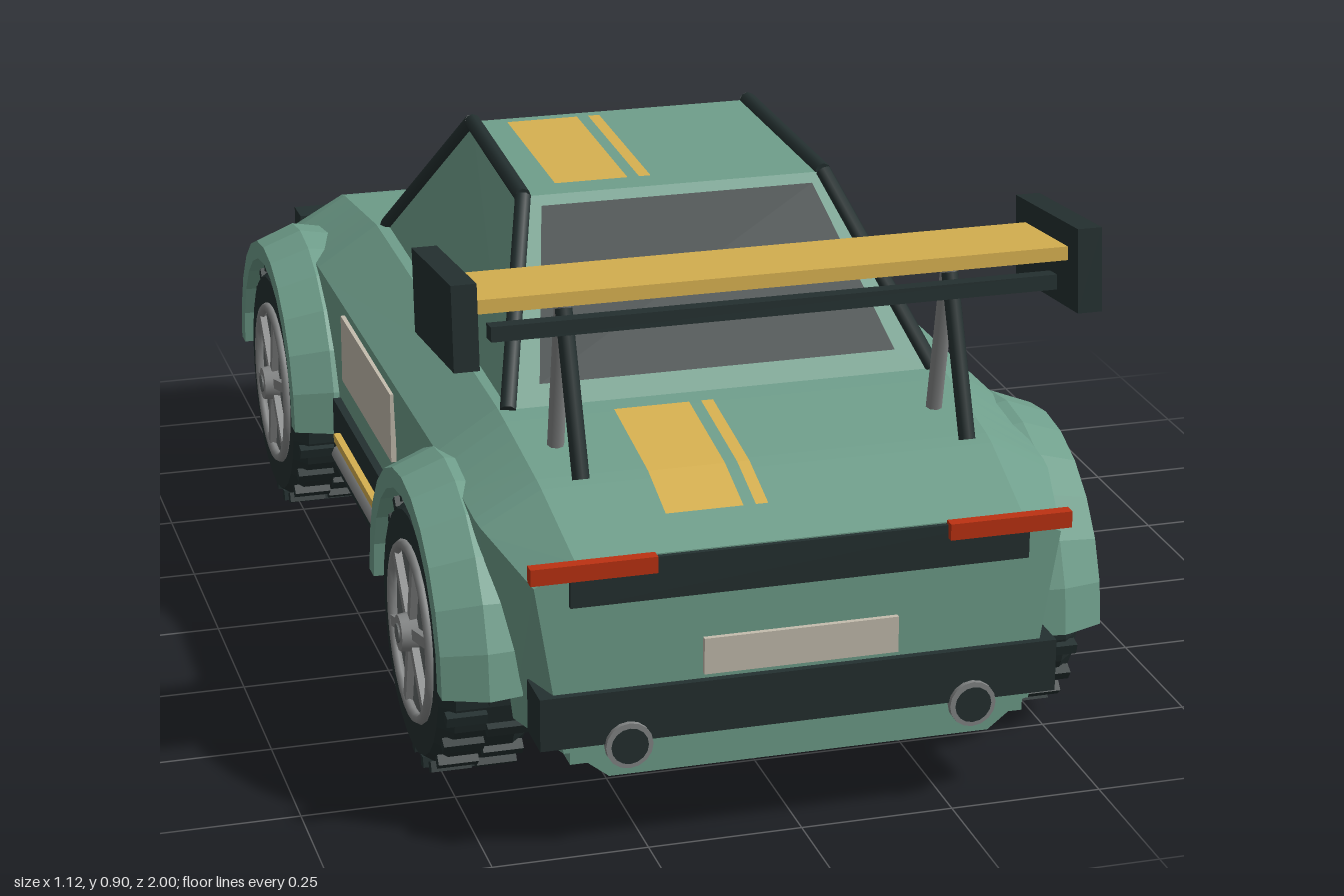
import * as THREE from 'three';

const mat = (name, color, side = THREE.FrontSide) => {
  const m = new THREE.MeshStandardMaterial({ color, side });
  m.name = name;
  return m;
};

export function createModel() {
  const car = new THREE.Group();
  car.name = 'rallyCar';
  const green = mat('bodyGreen', 0x6f9e8b, THREE.DoubleSide);
  const dark = mat('darkTrim', 0x243030, THREE.DoubleSide);
  const yellow = mat('yellow', 0xd6b050, THREE.DoubleSide);
  const beige = mat('beige', 0xc4bdae);
  const red = mat('tailRed', 0xbd3212);
  const grey = mat('metalGrey', 0x848686);
  const rimGrey = mat('rimGrey', 0x626666);

  const add = (name, geo, m, parent = car) => {
    const mesh = new THREE.Mesh(geo, m);
    mesh.name = name;
    parent.add(mesh);
    return mesh;
  };
  const box = (name, m, [w, h, d], [x, y, z], parent = car) => {
    const b = add(name, new THREE.BoxGeometry(w, h, d), m, parent);
    b.position.set(x, y, z);
    return b;
  };
  const rod = (name, m, a, b, r, parent = car) => {
    const p = new THREE.Vector3(...a), q = new THREE.Vector3(...b);
    const t = add(name, new THREE.CylinderGeometry(r, r, p.distanceTo(q), 8), m, parent);
    t.position.copy(p).lerp(q, 0.5);
    t.quaternion.setFromUnitVectors(new THREE.Vector3(0, 1, 0), q.sub(p).normalize());
    return t;
  };
  const faceted = (tris) => {
    const g = new THREE.BufferGeometry();
    g.setAttribute('position', new THREE.Float32BufferAttribute(tris.flat(), 3));
    g.computeVertexNormals();
    return g;
  };
  const quad = (a, b, c, d) => [a, b, c, a, c, d];

  // Body sections: z, deck height, deck half-width, side half-width, shoulder height, sill half-width
  const key = [
    [-0.97, 0.43, 0.33, 0.39, 0.395, 0.375],
    [-0.9, 0.475, 0.35, 0.43, 0.43, 0.41],
    [-0.75, 0.535, 0.36, 0.46, 0.475, 0.44],
    [-0.44, 0.572, 0.36, 0.47, 0.5, 0.46],
    [0.56, 0.58, 0.375, 0.475, 0.515, 0.46],
    [0.8, 0.545, 0.37, 0.47, 0.49, 0.435],
    [0.98, 0.487, 0.36, 0.425, 0.45, 0.38],
  ];
  const at = (z) => {
    let i = 0;
    while (i < key.length - 2 && z > key[i + 1][0]) i++;
    const t = (z - key[i][0]) / (key[i + 1][0] - key[i][0]);
    return key[i].map((v, k) => v + (key[i + 1][k] - v) * t);
  };

  // Lofted body with wheel arches cut into its sides
  const axles = [-0.585, 0.6], wheelY = 0.23, archR = 0.235, sill = 0.17;
  const stations = key.filter((k) => ![-0.75, 0.56, 0.8].includes(k[0])).map((k) => [k[0], sill]);
  for (const zc of axles) {
    stations.push([zc - archR - 1e-5, sill], [zc + archR + 1e-5, sill]);
    for (let i = 0; i <= 14; i++) {
      const t = (i / 14) * Math.PI;
      stations.push([zc - archR * Math.cos(t), wheelY + archR * Math.sin(t)]);
    }
  }
  stations.sort((a, b) => a[0] - b[0]);
  const rings = stations.map(([z, low]) => {
    const [, top, a, w, sh, lw] = at(z);
    const f = Math.max(0, (sh - low) / (sh - sill));
    const half = [[a, top], [w, sh], [w + (lw - w) * f, low], [0.37, low], [0.37, 0.15]];
    return [...half, ...half.map(([x, y]) => [-x, y]).reverse()].map(([x, y]) => [x, y, z]);
  });
  const tris = [];
  const n = rings[0].length;
  for (let i = 0; i < rings.length - 1; i++)
    for (let j = 0; j < n; j++) {
      const k = (j + 1) % n;
      tris.push(...quad(rings[i][j], rings[i + 1][j], rings[i + 1][k], rings[i][k]));
    }
  const first = rings[0], last = rings[rings.length - 1];
  for (let j = 0; j < n; j++) {
    const k = (j + 1) % n;
    tris.push([0, 0.3, first[0][2]], first[j], first[k], [0, 0.3, last[0][2]], last[k], last[j]);
  }
  add('body', faceted(tris), green);

  // Flat floor, notched for the wheels
  const half = [[0.31, -0.965], [0.37, -0.84], [0.37, -0.33], [0.45, -0.3], [0.45, 0.32], [0.37, 0.35], [0.37, 0.86], [0.31, 0.98]];
  const floor = new THREE.Shape([...half, ...half.map(([x, z]) => [-x, z]).reverse()].map((p) => new THREE.Vector2(...p)));
  add('floor', new THREE.ExtrudeGeometry(floor, { depth: 0.035, bevelEnabled: false }).rotateX(Math.PI / 2), dark).position.y = 0.165;
  for (const [name, z] of [['rearValance', 0.98], ['frontValance', -0.985]]) {
    const s = new THREE.Shape([[-0.31, 0.127], [0.31, 0.127], [0.39, 0.19], [-0.39, 0.19]].map((p) => new THREE.Vector2(...p)));
    add(name, new THREE.ExtrudeGeometry(s, { depth: 0.008, bevelEnabled: false }), green).position.z = z;
  }

  // Cabin: base and roof corners
  const corner = (s, e) => ({
    bf: [0.34 * s, 0.57, -0.44], tf: [0.25 * s, 0.85, -0.13], tr: [0.26 * s, 0.838, 0.27], br: [0.36 * s, 0.578, 0.56],
  })[e];
  const L = (e) => corner(1, e), R = (e) => corner(-1, e);
  add('cabin', faceted([
    ...quad(L('bf'), L('tf'), L('tr'), L('br')),
    ...quad(R('br'), R('tr'), R('tf'), R('bf')),
    ...quad(R('tf'), R('tr'), L('tr'), L('tf')),
    ...quad(R('bf'), R('tf'), L('tf'), L('bf')),
    ...quad(L('br'), L('tr'), R('tr'), R('br')),
  ]), green);
  for (const s of [1, -1]) {
    const p = ['bf', 'tf', 'tr', 'br'].map((e) => corner(s, e));
    for (let i = 0; i < 3; i++) rod('roofTube', dark, p[i], p[i + 1], 0.014);
  }

  // Glass set on a cabin face by fractions along (u) and up (v)
  const glass = (name, [b0, b1, t0, t1], uv, off) => {
    const mix = (a, b, t) => a.map((v, i) => v + (b[i] - v) * t);
    const pts = uv.map(([u, v]) => mix(mix(b0, b1, u), mix(t0, t1, u), v).map((c, i) => c + off[i]));
    add(name, faceted(quad(...pts)), dark);
  };
  const side = [L('bf'), L('br'), L('tf'), L('tr')];
  glass('frontSideWindow', side, [[0.525, 0.08], [0.07, 0.08], [0.05, 0.93], [0.52, 0.93]], [0.006, 0.002, 0]);
  glass('rearSideWindow', side, [[0.94, 0.08], [0.55, 0.08], [0.57, 0.93], [0.96, 0.93]], [0.006, 0.002, 0]);
  glass('rearWindow', [R('br'), L('br'), R('tr'), L('tr')], [[0.07, 0.1], [0.93, 0.1], [0.94, 0.94], [0.06, 0.94]], [0, 0.004, 0.004]);

  // Racing stripes on hood, roof and rear deck
  const roofY = (z) => 0.85 - (0.012 * (z + 0.13)) / 0.4;
  for (const [x0, x1] of [[-0.195, -0.07], [-0.05, -0.03]])
    for (const [name, z0, z1, h] of [['hoodStripe', -0.87, -0.48], ['roofStripe', -0.1, 0.23, roofY], ['deckStripe', 0.6, 0.9]]) {
      const t = [], y = (z) => (h ? h(z) : at(z)[1]) + 0.004;
      for (let i = 0; i < 12; i++) {
        const a = z0 + ((z1 - z0) * i) / 12, b = z0 + ((z1 - z0) * (i + 1)) / 12;
        t.push(...quad([x0, y(a), a], [x0, y(b), b], [x1, y(b), b], [x1, y(a), a]));
      }
      add(name, faceted(t), yellow);
    }

  // Hood scoop
  box('hoodScoop', dark, [0.26, 0.04, 0.17], [0, 0.547, -0.67]).rotation.x = -0.04;
  for (const x of [-0.04, 0, 0.04]) box('scoopSlot', rimGrey, [0.014, 0.006, 0.1], [x, 0.568, -0.67]);

  // Wheels and flares; each pair is turned about y for the other side
  const wheel = (parent) => {
    const w = new THREE.Group();
    w.name = 'wheel';
    const prof = [[0.14, -0.07], [0.2, -0.075], [0.217, -0.05], [0.217, 0.05], [0.2, 0.075], [0.14, 0.07]];
    add('tyre', new THREE.LatheGeometry(prof.map((p) => new THREE.Vector2(...p)), 28).toNonIndexed(), dark, w).geometry.computeVertexNormals();
    for (let i = 0; i < 44; i++) {
      const a = (i / 44) * Math.PI * 2;
      const b = box('tread', dark, [0.018, 0.066, 0.018], [0.219 * Math.cos(a), i % 2 ? 0.034 : -0.034, 0.219 * Math.sin(a)], w);
      b.rotation.y = -a;
    }
    add('rimDisc', new THREE.CylinderGeometry(0.147, 0.147, 0.135, 28), rimGrey, w);
    const ring = add('rimRing', new THREE.TorusGeometry(0.142, 0.009, 6, 28), grey, w);
    ring.rotation.x = Math.PI / 2;
    ring.position.y = 0.074;
    for (let i = 0; i < 6; i++) {
      const a = (i / 6) * Math.PI * 2 + 0.26;
      box('spoke', grey, [0.115, 0.015, 0.018], [0.085 * Math.cos(a), 0.072, 0.085 * Math.sin(a)], w).rotation.y = -a;
    }
    add('hub', new THREE.CylinderGeometry(0.03, 0.034, 0.03, 12), grey, w).position.y = 0.08;
    add('hubCap', new THREE.CylinderGeometry(0.016, 0.016, 0.01, 10), rimGrey, w).position.y = 0.093;
    w.rotation.z = -Math.PI / 2;
    w.position.x = 0.46;
    parent.add(w);
  };
  const flareProfile = [[0.235, 0.43], [0.235, 0.545], [0.268, 0.545], [0.295, 0.475], [0.285, 0.42]].map((p) => new THREE.Vector2(...p));
  for (const z of axles)
    for (const turn of [0, Math.PI]) {
      const c = new THREE.Group();
      c.name = 'wheelCorner';
      wheel(c);
      const flare = new THREE.LatheGeometry(flareProfile, 12, Math.PI, Math.PI).rotateZ(-Math.PI / 2).toNonIndexed();
      flare.computeVertexNormals();
      add('wheelFlare', flare, green, c);
      c.position.set(0, wheelY, z);
      c.rotation.y = turn;
      car.add(c);
    }

  // Paired side, lamp and wing details
  const wing = new THREE.Group();
  wing.name = 'rearWing';
  wing.position.set(0, 0.825, 0.738);
  wing.rotation.x = -0.1;
  car.add(wing);
  box('wingPlank', yellow, [0.96, 0.022, 0.185], [0, 0.02, 0], wing);
  box('wingLip', dark, [0.91, 0.024, 0.03], [0, -0.02, 0.095], wing);
  for (const s of [1, -1]) {
    box('sideSkirt', dark, [0.05, 0.13, 0.6], [0.454 * s, 0.235, 0.01]);
    box('skirtStripe', yellow, [0.02, 0.015, 0.48], [0.481 * s, 0.248, 0.01]);
    rod('sidePipe', grey, [0.478 * s, 0.216, -0.23], [0.478 * s, 0.216, 0.26], 0.018);
    box('doorPanel', beige, [0.009, 0.122, 0.41], [0.474 * s, 0.428, 0.005]);
    box('wingEndPlate', dark, [0.04, 0.135, 0.27], [0.5 * s, 0, 0], wing);
    rod('wingStrutRear', dark, [0.315 * s, 0.565, 0.845], [0.315 * s, 0.81, 0.745], 0.014);
    rod('wingStrutFront', grey, [0.315 * s, 0.565, 0.69], [0.315 * s, 0.82, 0.74], 0.014);
    box('tailLight', red, [0.2, 0.027, 0.02], [0.335 * s, 0.477, 0.99]);
    const pipe = rod('exhaust', grey, [0.28 * s, 0.18, 0.9], [0.28 * s, 0.18, 1.0], 0.038);
    pipe.geometry = new THREE.CylinderGeometry(0.038, 0.038, 0.1, 16);
    add('exhaustBore', new THREE.CircleGeometry(0.03, 16), dark).position.set(0.28 * s, 0.18, 1.002);
    box('lampHousing', dark, [0.17, 0.075, 0.06], [0.325 * s, 0.402, -0.955]);
    for (const y of [0.387, 0.417]) box('headlight', beige, [0.14, 0.02, 0.015], [0.32 * s, y, -0.99]);
  }

  // Rear and front fascia
  box('tailPanel', dark, [0.74, 0.07, 0.02], [0, 0.45, 0.978]);
  box('rearPlate', beige, [0.315, 0.06, 0.009], [0, 0.31, 0.984]);
  box('rearBumper', dark, [0.84, 0.087, 0.08], [0, 0.227, 0.952]);
  box('frontBumper', dark, [0.82, 0.065, 0.065], [0, 0.198, -0.957]);
  box('grille', dark, [0.48, 0.085, 0.02], [0, 0.3, -0.978]);
  for (let i = 0; i < 17; i++) box('grilleSlat', rimGrey, [0.01, 0.06, 0.008], [-0.216 + i * 0.027, 0.3, -0.991]);

  return car;
}
